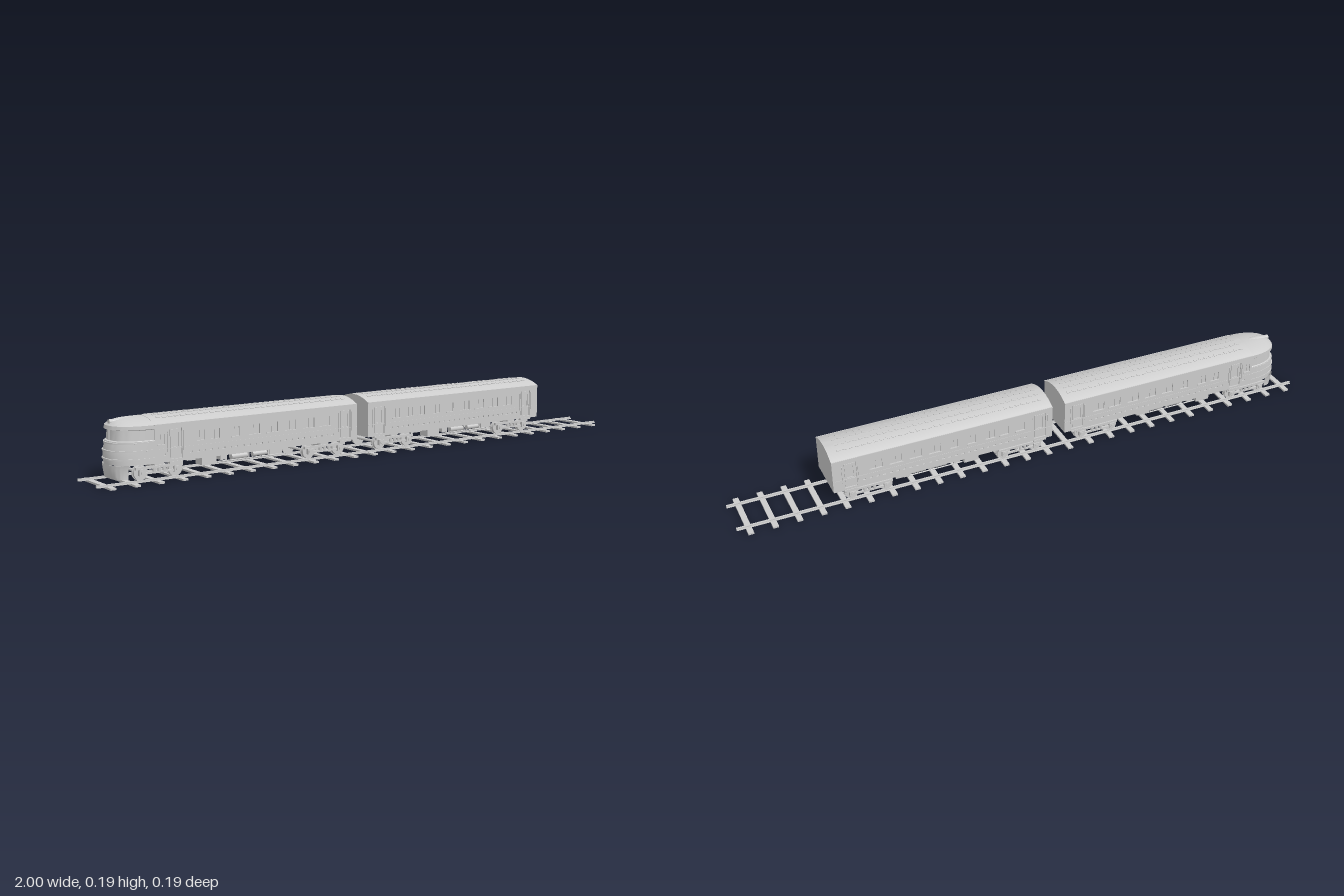
import * as THREE from 'three';
import { mergeGeometries, toCreasedNormals } from 'three/addons/utils/BufferGeometryUtils.js';

const grey = new THREE.MeshStandardMaterial({ color: 0xcccccc });
const thin = new THREE.MeshStandardMaterial({ color: 0xcccccc, side: THREE.DoubleSide });
const HALF = 0.078, SKIN = 0.004, FLOOR = 0.058, EAVE = 0.17, TOP = 0.19;
const roofY = z => TOP - (TOP - EAVE) * (z / HALF) ** 2;

function add(parent, name, geometry, x = 0, y = 0, z = 0, material = grey) {
  const m = new THREE.Mesh(geometry, material);
  m.name = name;
  m.position.set(x, y, z);
  parent.add(m);
  return m;
}
const box = (w, h, d, x = 0, y = 0, z = 0) => new THREE.BoxGeometry(w, h, d).translate(x, y, z);
const disc = (r, d, x, y, z, n = 20) => new THREE.CylinderGeometry(r, r, d, n).rotateX(Math.PI / 2).translate(x, y, z);
const tank = (r, len, x, y, z) => new THREE.CylinderGeometry(r, r, len, 14).rotateZ(Math.PI / 2).translate(x, y, z);

function rectPath(x0, y0, x1, y1, Type = THREE.Path) {
  const p = new Type();
  p.moveTo(x0, y0); p.lineTo(x1, y0); p.lineTo(x1, y1); p.lineTo(x0, y1); p.closePath();
  return p;
}

// Rounded plan curves stacked by height; rows are [y, half width, forward reach]
function noseShell(x0, rows, power) {
  const N = 28, pos = [], idx = [];
  rows.forEach(([y, w, reach]) => {
    for (let i = 0; i <= N; i++) {
      const t = Math.PI * i / N, c = Math.cos(t), s = Math.sin(t);
      pos.push(x0 - reach * Math.abs(s) ** power, y, w * Math.sign(c) * Math.abs(c) ** power);
    }
  });
  for (let r = 0; r < rows.length - 1; r++)
    for (let i = 0; i < N; i++) {
      const a = r * (N + 1) + i, c = a + N + 1;
      idx.push(a, c, a + 1, a + 1, c, c + 1);
    }
  const g = new THREE.BufferGeometry();
  g.setAttribute('position', new THREE.Float32BufferAttribute(pos, 3));
  g.setIndex(idx);
  return toCreasedNormals(g, 0.6);
}

// Side skin with window, door and slot openings
function sidePanel(x0, x1, windows, doors) {
  const s = rectPath(x0, FLOOR, x1, EAVE + 0.001, THREE.Shape);
  windows.forEach(([x, w]) => s.holes.push(rectPath(x - w / 2, 0.112, x + w / 2, 0.142)));
  doors.forEach(x => s.holes.push(rectPath(x - 0.021, 0.066, x + 0.021, 0.155)));
  for (let x = x0 + 0.03; x < x1 - 0.03; x += 0.022)
    if (doors.every(d => Math.abs(d - x) > 0.033)) s.holes.push(rectPath(x - 0.005, 0.079, x + 0.005, 0.084));
  return new THREE.ExtrudeGeometry(s, { depth: SKIN, bevelEnabled: false });
}

function roof(x0, x1) {
  const s = new THREE.Shape();
  s.moveTo(-HALF, EAVE);
  s.lineTo(HALF, EAVE);
  for (let i = 0; i <= 16; i++) {
    const z = HALF * (1 - i / 8);
    s.lineTo(z, roofY(z) + 0.001);
  }
  s.closePath();
  const g = new THREE.ExtrudeGeometry(s, { depth: x1 - x0, bevelEnabled: false });
  return toCreasedNormals(g.rotateY(Math.PI / 2).translate(x0, 0, 0), 0.5);
}

function bogie(x, gap) {
  const g = new THREE.Group(), wheels = [], frames = [];
  g.name = 'bogie';
  for (const dx of [-gap / 2, gap / 2]) {
    wheels.push(disc(0.005, 0.13, dx, 0.034, 0, 10));
    for (const s of [-1, 1]) {
      wheels.push(disc(0.022, 0.01, dx, 0.034, s * 0.06), disc(0.024, 0.003, dx, 0.034, s * 0.0535));
      frames.push(box(0.02, 0.018, 0.01, dx, 0.036, s * 0.073), disc(0.006, 0.004, dx, 0.036, s * 0.079, 10));
    }
  }
  for (const s of [-1, 1]) {
    frames.push(box(gap + 0.04, 0.008, 0.007, 0, 0.048, s * 0.071), box(gap - 0.02, 0.006, 0.006, 0, 0.032, s * 0.071));
    for (const dx of [-0.016, 0, 0.016]) frames.push(new THREE.CylinderGeometry(0.005, 0.005, 0.014, 8).translate(dx, 0.04, s * 0.071));
  }
  frames.push(box(0.03, 0.014, 0.14, 0, 0.05, 0));
  add(g, 'wheels', mergeGeometries(wheels));
  add(g, 'bogieFrame', mergeGeometries(frames));
  g.position.x = x;
  return g;
}

function carriage(name, x0, x1, windows, doors, bogies) {
  const car = new THREE.Group(), mid = (x0 + x1) / 2, len = x1 - x0;
  car.name = name;
  add(car, 'bodyCore', box(len, EAVE - FLOOR, 2 * (HALF - SKIN)), mid, (EAVE + FLOOR) / 2);
  add(car, 'roof', roof(x0, x1));
  const panel = sidePanel(x0, x1, windows, doors);
  for (const s of [-1, 1]) {
    add(car, 'sidePanel', panel, 0, 0, s > 0 ? HALF - SKIN : -HALF);
    const trim = [box(len, 0.003, 0.003, mid, 0.17, s * HALF), box(len, 0.002, 0.002, mid, 0.098, s * HALF)];
    // Door leaf with raised rails around its window, plus grab rails
    doors.forEach(x => {
      const z = s * 0.0755;
      trim.push(box(0.034, 0.032, 0.003, x, 0.086, z), box(0.034, 0.01, 0.003, x, 0.148, z));
      for (const d of [-1, 1]) {
        trim.push(box(0.006, 0.045, 0.003, x + d * 0.014, 0.122, z));
        trim.push(box(0.002, 0.06, 0.003, x + d * 0.026, 0.118, s * 0.0795));
      }
      trim.push(box(0.044, 0.006, 0.014, x, 0.056, s * 0.073));
    });
    // Window sills and centre bars
    windows.forEach(([x, w]) => trim.push(box(w + 0.006, 0.003, 0.003, x, 0.1105, s * HALF), box(0.002, 0.03, 0.002, x, 0.127, s * 0.075)));
    add(car, 'sideTrim', mergeGeometries(trim));
  }
  // Rows of small roof vents
  const vents = [];
  for (const z of [-0.04, -0.014, 0.014, 0.04])
    for (let x = x0 + 0.03; x < x1 - 0.02; x += 0.02)
      vents.push(box(0.012, 0.004, 0.008).rotateX(z * 6.5).translate(x, roofY(z) + 0.0005, z));
  add(car, 'roofVents', mergeGeometries(vents));
  bogies.forEach(x => car.add(bogie(x, 0.113)));
  // Underfloor equipment between the bogies
  const a = bogies[0] + 0.13, under = [];
  under.push(box(len - 0.04, 0.006, 0.05, mid, 0.056, 0));
  for (const s of [-1, 1]) {
    under.push(box(0.05, 0.026, 0.04, a + 0.04, 0.046, s * 0.045), box(0.022, 0.016, 0.03, a + 0.09, 0.05, s * 0.05));
    under.push(tank(0.01, 0.055, a + 0.15, 0.046, s * 0.05), tank(0.008, 0.05, a + 0.22, 0.047, s * 0.055));
    under.push(box(0.045, 0.018, 0.03, a + 0.275, 0.049, s * 0.05), tank(0.002, 0.2, a + 0.17, 0.037, s * 0.06));
    for (const d of [0.1, 0.18, 0.25]) under.push(box(0.004, 0.022, 0.004, a + d, 0.047, s * 0.06));
  }
  add(car, 'underfloorEquipment', mergeGeometries(under));
  return car;
}

function leadNose() {
  const g = new THREE.Group(), x0 = -0.82;
  g.name = 'nose';
  add(g, 'noseShell', noseShell(x0, [
    [FLOOR, 0, 0], [FLOOR, HALF, 0.118], [0.075, HALF, 0.12], [0.095, HALF, 0.119], [0.118, HALF, 0.115],
    [0.126, HALF, 0.113], [0.128, 0.076, 0.107], [0.158, 0.076, 0.105], [0.16, HALF, 0.114], [0.171, HALF, 0.112],
    [0.177, 0.066, 0.106], [0.183, 0.0475, 0.094], [0.188, 0.028, 0.076], [0.191, 0, 0.055]], 0.85));
  // Raised bands wrapping the nose
  for (const [y, r] of [[0.074, 0.122], [0.098, 0.121], [0.121, 0.1165]])
    add(g, 'noseBand', noseShell(x0, [[y - 0.003, HALF - 0.004, r - 0.006], [y - 0.002, HALF + 0.001, r + 0.001],
      [y + 0.002, HALF + 0.001, r + 0.001], [y + 0.003, HALF - 0.004, r - 0.006]], 0.85));
  // Windscreen pillars
  for (const z of [-0.03, 0, 0.03])
    add(g, 'windscreenPillar', box(0.008, 0.034, 0.004), z ? -0.914 : -0.925, 0.143, z);
  // Headlamp fairing tapering back along the roof
  add(g, 'headlampFairing', new THREE.SphereGeometry(1, 20, 12).scale(0.055, 0.011, 0.014), -0.872, 0.181, 0);
  add(g, 'headlamp', new THREE.CylinderGeometry(0.008, 0.008, 0.014, 16).rotateZ(Math.PI / 2), -0.92, 0.18, 0);
  // Skirt below the nose
  add(g, 'pilot', noseShell(-0.895, [[0.016, 0.054, 0.037], [0.025, 0.054, 0.04], [0.045, 0.056, 0.043], [FLOOR, 0.06, 0.043]], 0.7), 0, 0, 0, thin);
  return g;
}

function track() {
  const g = new THREE.Group(), ties = [];
  g.name = 'track';
  for (let i = 0; i < 26; i++) ties.push(box(0.018, 0.006, 0.192, -0.963 + i * 1.926 / 25, 0.003, 0));
  add(g, 'sleepers', mergeGeometries(ties));
  for (const s of [-1, 1])
    add(g, 'rail', mergeGeometries([box(2, 0.002, 0.012, 0, 0.006, 0), box(2, 0.004, 0.003, 0, 0.009, 0), box(2, 0.002, 0.006, 0, 0.011, 0)]), 0, 0, s * 0.062);
  return g;
}

export function createModel() {
  const train = new THREE.Group();
  train.name = 'train';
  train.add(track());
  const lead = carriage('leadCar', -0.82, -0.1,
    [[-0.8, 0.022], [-0.67, 0.03], [-0.62, 0.03], [-0.55, 0.026], [-0.485, 0.04], [-0.42, 0.04], [-0.355, 0.04], [-0.285, 0.04], [-0.225, 0.04]],
    [-0.753, -0.147], [-0.805, -0.222]);
  lead.add(leadNose());
  train.add(lead);
  train.add(carriage('trailingCar', -0.055, 0.692,
    [[0.06, 0.03], [0.115, 0.03], [0.165, 0.03], [0.23, 0.026], [0.29, 0.026], [0.355, 0.04], [0.42, 0.04], [0.485, 0.04], [0.55, 0.04]],
    [-0.01, 0.635], [0.057, 0.575]));
  return train;
}
